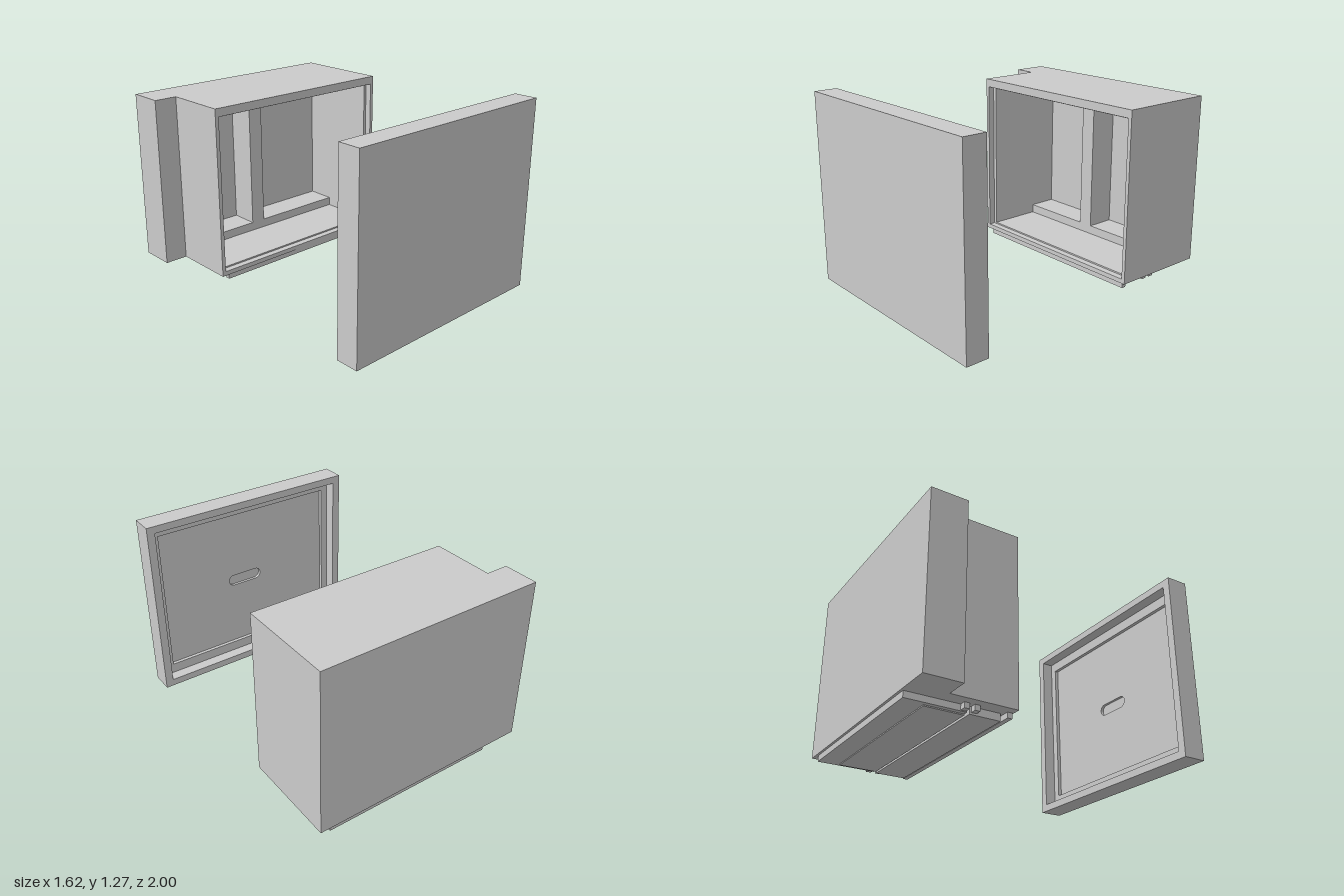
import * as THREE from 'three';

const material = new THREE.MeshStandardMaterial({ color: 0xcccccc, flatShading: true });

function add(group, name, geometry) {
  const mesh = new THREE.Mesh(geometry, material);
  mesh.name = name;
  group.add(mesh);
  return mesh;
}

// Box given by its minimum and maximum on each axis
function block(group, name, x0, x1, y0, y1, z0, z1) {
  const geo = new THREE.BoxGeometry(x1 - x0, y1 - y0, z1 - z0);
  geo.translate((x0 + x1) / 2, (y0 + y1) / 2, (z0 + z1) / 2);
  return add(group, name, geo);
}

function rect(PathType, [x0, x1, y0, y1]) {
  return new PathType([[x0, y0], [x1, y0], [x1, y1], [x0, y1]].map(p => new THREE.Vector2(...p)));
}

// Rectangular slab from z0 to z1 with one opening
function frame(group, name, outer, hole, z0, z1) {
  const shape = rect(THREE.Shape, outer);
  shape.holes.push(Array.isArray(hole) ? rect(THREE.Path, hole) : hole);
  const geo = new THREE.ExtrudeGeometry(shape, { depth: z1 - z0, bevelEnabled: false, curveSegments: 12 });
  geo.translate(0, 0, z0);
  return add(group, name, geo);
}

// Slot outline with round ends
function slot(cx, cy, length, height) {
  const r = height / 2, h = length / 2 - r;
  const path = new THREE.Path();
  path.absarc(cx + h, cy, r, -Math.PI / 2, Math.PI / 2, false);
  path.absarc(cx - h, cy, r, Math.PI / 2, Math.PI * 1.5, false);
  path.closePath();
  return path;
}

// Front cover: stepped recess on its inner side
function createCover() {
  const cover = new THREE.Group();
  cover.name = 'cover';
  const outer = [-0.725, 0.805, 0, 1.275];
  const inset = (dx, dy) => [outer[0] + dx, outer[1] - dx, outer[2] + dy, outer[3] - dy];
  frame(cover, 'coverRim', outer, inset(0.055, 0.05), 0.845, 0.925);
  frame(cover, 'coverLedge', outer, inset(0.105, 0.12), 0.925, 0.95);
  frame(cover, 'coverInnerPanel', outer, slot(0.05, 0.63, 0.26, 0.08), 0.95, 0.97);
  block(cover, 'coverFrontPanel', ...outer, 0.97, 1);
  return cover;
}

// Open housing with a side extension at the back
function createHousing() {
  const housing = new THREE.Group();
  housing.name = 'housing';
  const outer = [-0.655, 0.735, 0.07, 1.21];
  frame(housing, 'housingRim', outer, [-0.63, 0.71, 0.1, 1.155], -0.37, -0.325);
  frame(housing, 'housingWalls', outer, [-0.605, 0.69, 0.11, 1.14], -0.94, -0.37);
  block(housing, 'housingBack', ...outer, -1, -0.94);
  block(housing, 'sideExtension', -0.81, -0.655, 0.07, 1.21, -1, -0.76);
  block(housing, 'rearShelf', -0.605, 0.69, 0.11, 0.17, -0.94, -0.74);
  block(housing, 'divider', -0.08, 0.025, 0.17, 1.14, -0.94, -0.74);
  return housing;
}

// Low tray and rails under the housing
function createUnderside() {
  const base = new THREE.Group();
  base.name = 'underside';
  block(base, 'frontStrip', -0.6, 0.71, 0.035, 0.07, -0.365, -0.333);
  block(base, 'frontPlate', -0.56, 0.66, 0.023, 0.07, -0.585, -0.385);
  block(base, 'rearPlate', -0.56, 0.66, 0.03, 0.07, -0.985, -0.6);
  block(base, 'rearPanel', -0.53, 0.63, 0.023, 0.03, -0.85, -0.6);
  for (const z of [-0.557, -0.623]) {
    block(base, 'rail', -0.6, 0.7, 0.035, 0.07, z - 0.017, z + 0.017);
  }
  return base;
}

export function createModel() {
  const model = new THREE.Group();
  model.name = 'housingWithCover';
  model.add(createCover(), createHousing(), createUnderside());
  return model;
}
